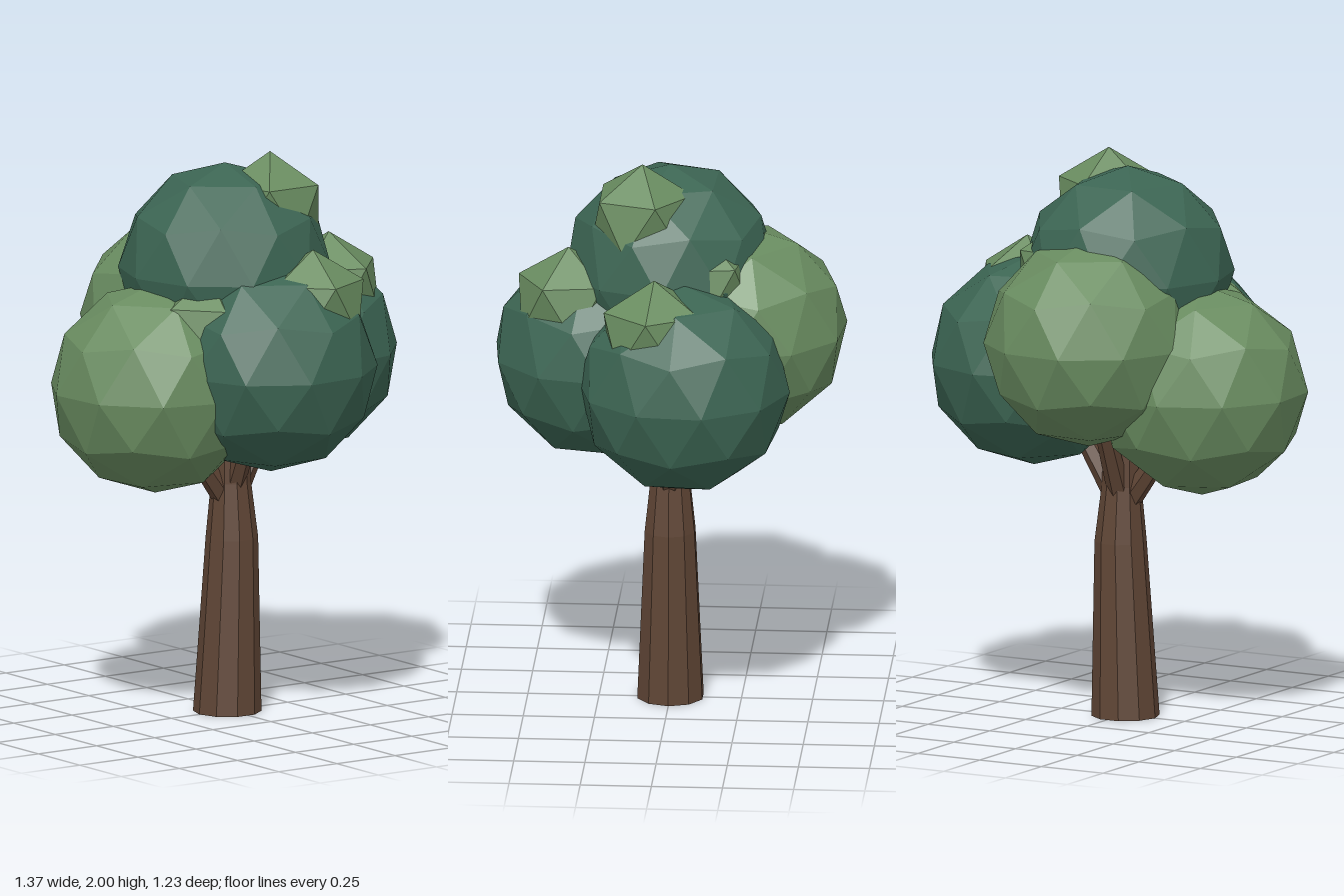
import * as THREE from 'three';

const bark = new THREE.MeshStandardMaterial({ name: 'bark', color: 0x5f4535 });
const darkLeaf = new THREE.MeshStandardMaterial({ name: 'dark leaf', color: 0x3c6553 });
const lightLeaf = new THREE.MeshStandardMaterial({ name: 'light leaf', color: 0x698c60 });

// Unshared corners give every face its own flat normal
function faceted(geometry) {
  const g = geometry.index ? geometry.toNonIndexed() : geometry;
  g.computeVertexNormals();
  return g;
}

function addMesh(group, name, geometry, material, position = [0, 0, 0]) {
  const mesh = new THREE.Mesh(faceted(geometry), material);
  mesh.name = name;
  mesh.position.set(...position);
  group.add(mesh);
  return mesh;
}

// Icosahedron standing on a corner; one upper corner points to the azimuth (degrees from +x towards +z)
function leafBall(radius, detail, azimuth) {
  return new THREE.IcosahedronGeometry(radius, detail)
    .rotateZ(-Math.atan(2 / (1 + Math.sqrt(5))))
    .rotateY(-THREE.MathUtils.degToRad(azimuth));
}

// Ten-sided trunk, tapering with a slight bend
function trunkGeometry() {
  const profile = [[0, 0], [0.12, 0], [0.092, 0.62], [0.07, 0.82], [0.06, 1.15], [0, 1.15]];
  const g = new THREE.LatheGeometry(profile.map(p => new THREE.Vector2(...p)), 10, Math.PI / 10);
  const pos = g.attributes.position;
  for (let i = 0; i < pos.count; i++) {
    const y = pos.getY(i);
    const bend = y < 0.62 ? -0.01 + 0.02 * y / 0.62 : 0.01 - 0.01 * (y - 0.62) / 0.53;
    pos.setX(i, pos.getX(i) + bend);
  }
  return g;
}

// Tapered branch between two points
function addBranch(group, name, from, to) {
  const a = new THREE.Vector3(...from), b = new THREE.Vector3(...to);
  const dir = b.clone().sub(a);
  const mesh = addMesh(group, name, new THREE.CylinderGeometry(0.03, 0.042, dir.length(), 6), bark);
  mesh.position.copy(a).add(b).multiplyScalar(0.5);
  mesh.quaternion.setFromUnitVectors(new THREE.Vector3(0, 1, 0), dir.normalize());
}

export function createModel() {
  const tree = new THREE.Group();
  tree.name = 'tree';

  addMesh(tree, 'trunk', trunkGeometry(), bark);
  addBranch(tree, 'leftBranch', [0.03, 0.78, 0], [0.22, 1.1, -0.02]);
  addBranch(tree, 'rightBranch', [-0.02, 0.76, 0], [-0.24, 1.06, 0]);
  addBranch(tree, 'frontBranch', [0, 0.8, 0.02], [0, 1.12, 0.16]);
  addBranch(tree, 'backBranch', [0, 0.78, -0.02], [0, 1.2, -0.2]);

  // Large leaf masses: name, material, centre, radius, azimuth
  const masses = [
    ['topCrown', darkLeaf, [-0.02, 1.585, 0], 0.375, 20],
    ['frontCrown', darkLeaf, [0, 1.27, 0.25], 0.375, 85],
    ['leftCrown', darkLeaf, [0.32, 1.25, -0.07], 0.375, 5],
    ['rightCrown', lightLeaf, [-0.32, 1.19, 0], 0.375, 175],
    ['backCrown', lightLeaf, [-0.01, 1.37, -0.255], 0.37, -85],
  ];
  for (const [name, material, centre, radius, azimuth] of masses)
    addMesh(tree, name, leafBall(radius, 1, azimuth), material, centre);

  // Small leaf tufts poking out of the masses
  const tufts = [
    ['topTuft', [0.11, 1.8, 0.09], 0.2, -18],
    ['frontTuft', [0.11, 1.49, 0.35], 0.2, 27],
    ['leftTuft', [0.405, 1.47, 0.03], 0.2, 6],
    ['rightTuft', [-0.215, 1.42, 0.17], 0.19, 175],
    ['backTuft', [0.155, 1.585, -0.125], 0.19, -45],
  ];
  for (const [name, centre, radius, azimuth] of tufts)
    addMesh(tree, name, leafBall(radius, 0, azimuth), lightLeaf, centre);

  return tree;
}
